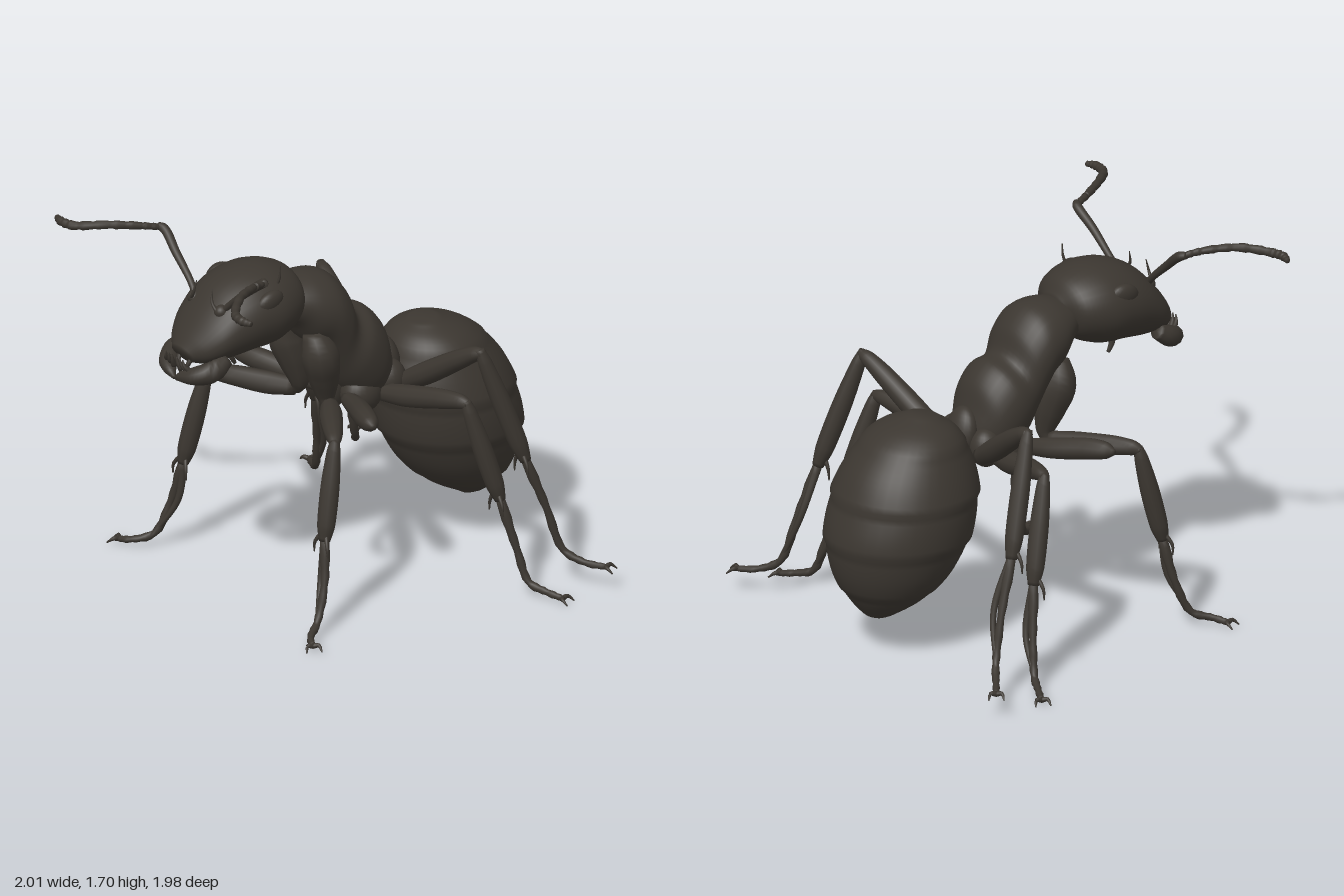
import * as THREE from 'three';

const shell = new THREE.MeshStandardMaterial({ color: 0x3b3630 });
shell.name = 'dark brown shell';
const V = (x, y, z) => new THREE.Vector3(x, y, z);

// Closed skin over a list of rings, each ring a loop of points
function skin(rings) {
  const middle = (ring) => {
    const c = V(0, 0, 0);
    ring.forEach((p) => c.add(p));
    return ring.map(() => c.clone().divideScalar(ring.length));
  };
  const all = [middle(rings[0]), ...rings, middle(rings[rings.length - 1])];
  const n = rings[0].length, pos = [], idx = [];
  all.forEach((ring) => ring.forEach((p) => pos.push(p.x, p.y, p.z)));
  for (let i = 0; i < all.length - 1; i++) {
    for (let j = 0; j < n; j++) {
      const k = (j + 1) % n;
      const a = i * n + j, b = i * n + k, c = a + n, d = b + n;
      idx.push(a, b, c, b, d, c);
    }
  }
  const g = new THREE.BufferGeometry();
  g.setAttribute('position', new THREE.Float32BufferAttribute(pos, 3));
  g.setIndex(idx);
  g.computeVertexNormals();
  return g;
}

function add(parent, name, geometry) {
  const m = new THREE.Mesh(geometry, shell);
  m.name = name;
  parent.add(m);
  return m;
}

// Body loft: each section is [z1, y1, z2, y2, halfWidth] in the middle plane
function body(parent, name, sections, swell = () => 1, seg = 32) {
  const one = new THREE.CatmullRomCurve3(sections.map((s) => V(s[4], s[1], s[0])));
  const two = new THREE.CatmullRomCurve3(sections.map((s) => V(0, s[3], s[2])));
  const steps = (sections.length - 1) * 6, rings = [];
  for (let i = 0; i <= steps; i++) {
    const t = i / steps, a = one.getPoint(t), b = two.getPoint(t), w = a.x;
    a.x = 0;
    const c = a.clone().add(b).multiplyScalar(0.5), u = a.clone().sub(c), k = swell(t);
    rings.push(Array.from({ length: seg }, (_, j) => {
      const q = (j / seg) * Math.PI * 2;
      return c.clone().addScaledVector(u, Math.sin(q) * k).add(V(w * Math.cos(q) * k, 0, 0));
    }));
  }
  return add(parent, name, skin(rings));
}

// Limb through points [x, y, z, radius], mirrored when side is -1
function limb(parent, name, pts, side = 1, swell = () => 1, per = 5) {
  const path = new THREE.CatmullRomCurve3(pts.map((p) => V(p[0] * side, p[1], p[2])));
  const radii = new THREE.CatmullRomCurve3(pts.map((p, i) => V(p[3], i, 0)));
  const steps = (pts.length - 1) * per, rings = [], seg = 10;
  for (let i = 0; i <= steps; i++) {
    const t = i / steps, c = path.getPoint(t), d = path.getTangent(t);
    const r = Math.max(0.002, radii.getPoint(t).x) * swell(t);
    const ref = Math.abs(d.z) > 0.9 ? V(1, 0, 0) : V(0, 0, 1);
    const n1 = ref.cross(d).normalize(), n2 = d.clone().cross(n1);
    rings.push(Array.from({ length: seg }, (_, j) => {
      const q = (j / seg) * Math.PI * 2;
      return c.clone().addScaledVector(n1, r * Math.cos(q)).addScaledVector(n2, r * Math.sin(q));
    }));
  }
  return add(parent, name, skin(rings));
}

function blob(parent, name, p, size, rx = 0, rz = 0) {
  const m = add(parent, name, new THREE.SphereGeometry(1, 24, 16));
  m.position.set(...p);
  m.scale.set(...size);
  m.rotation.set(rx, 0, rz);
  return m;
}

// Leg joints: hip, knee, shin end, then the foot path
const LEGS = {
  front: { hip: [0.13, 0.84, 0.10], knee: [0.48, 0.84, 0.33], shin: [0.53, 0.42, 0.42],
    foot: [[0.575, 0.22, 0.455], [0.61, 0.07, 0.52], [0.67, 0.04, 0.6], [0.73, 0.03, 0.63]] },
  middle: { hip: [0.13, 0.83, -0.19], knee: [0.61, 0.91, -0.30], shin: [0.69, 0.46, -0.42],
    foot: [[0.75, 0.22, -0.47], [0.8, 0.07, -0.5], [0.88, 0.04, -0.54], [0.95, 0.025, -0.575]] },
  rear: { hip: [0.14, 0.86, -0.29], knee: [0.6, 1.13, -0.385], shin: [0.7, 0.62, -0.55],
    foot: [[0.74, 0.37, -0.64], [0.78, 0.17, -0.7], [0.86, 0.12, -0.76], [0.94, 0.11, -0.82]] },
};

function leg(parent, which, side) {
  const { hip, knee, shin, foot } = LEGS[which];
  const g = new THREE.Group();
  g.name = which + (side > 0 ? 'LeftLeg' : 'RightLeg');
  parent.add(g);
  const mix = (a, b, t, r, dy = 0) => [0, 1, 2].map((i) => a[i] + (b[i] - a[i]) * t + (i === 1 ? dy : 0)).concat(r);
  limb(g, 'thigh', [mix(hip, knee, 0, 0.04), mix(hip, knee, 0.3, 0.052), mix(hip, knee, 0.7, 0.046, 0.01),
    mix(hip, knee, 0.93, 0.034, 0.01), mix(hip, knee, 1.02, 0.022)], side);
  limb(g, 'shin', [mix(knee, shin, -0.04, 0.02), mix(knee, shin, 0.08, 0.032), mix(knee, shin, 0.45, 0.044),
    mix(knee, shin, 0.85, 0.042), mix(knee, shin, 1.02, 0.026)], side);
  limb(g, 'foot', [[...shin, 0.024], ...foot.map((p, i) => [...p, [0.019, 0.018, 0.016, 0.014][i]])], side,
    (t) => 0.85 + 0.35 * ((t * 8) % 1));
  // Spurs at the end of the shin
  const [f0, f1] = foot;
  limb(g, 'longSpur', [[...shin, 0.02], [f0[0] - 0.04, f0[1] + 0.02, f0[2] - 0.01, 0.015], [...f1, 0.01]], side);
  for (const s of [-1, 1]) {
    limb(g, 'shortSpur', [mix(knee, shin, 0.9, 0.012),
      [shin[0] + 0.045 * s, shin[1] - 0.02, shin[2] + 0.02, 0.008],
      [shin[0] + 0.05 * s, shin[1] - 0.07, shin[2] + 0.02, 0.003]], side, undefined, 3);
  }
  // Pair of claws
  const tip = foot[3], d = V(...tip).sub(V(...foot[2])).setY(0).normalize();
  for (const s of [-1, 1]) {
    const out = (a, b, y, r) => [tip[0] + d.x * a - d.z * b * s, tip[1] + y, tip[2] + d.z * a + d.x * b * s, r];
    limb(g, 'claw', [out(0, 0, 0, 0.013), out(0.012, 0.025, 0.006, 0.009), out(0.04, 0.034, -0.015, 0.003)], side, undefined, 3);
  }
}

export function createModel() {
  const ant = new THREE.Group();
  ant.name = 'ant';

  // Abdomen with overlapping plates, from top to tip
  body(ant, 'abdomen', [
    [-0.44, 1.06, -0.56, 1.08, 0.07], [-0.36, 1.0, -0.73, 1.01, 0.2], [-0.29, 0.86, -0.87, 0.87, 0.285],
    [-0.28, 0.71, -0.94, 0.71, 0.328], [-0.31, 0.56, -0.975, 0.56, 0.325], [-0.39, 0.41, -0.955, 0.4, 0.28],
    [-0.52, 0.28, -0.89, 0.27, 0.19], [-0.66, 0.2, -0.81, 0.18, 0.075], [-0.72, 0.165, -0.76, 0.16, 0.02],
  ], (t) => 0.985 + 0.04 * Math.pow((t * 5.6) % 1, 1.5), 40);
  blob(ant, 'waist', [0, 0.93, -0.29], [0.09, 0.12, 0.06], 0.2);

  // Thorax, from waist to neck
  body(ant, 'thorax', [
    [-0.3, 0.92, -0.25, 0.8, 0.08], [-0.265, 1.04, -0.16, 0.78, 0.155], [-0.23, 1.15, -0.08, 0.8, 0.19],
    [-0.16, 1.225, 0, 0.88, 0.2], [-0.08, 1.25, 0.05, 0.96, 0.183], [-0.03, 1.36, 0.09, 1.04, 0.195],
    [0.05, 1.44, 0.12, 1.1, 0.2], [0.14, 1.46, 0.18, 1.15, 0.185], [0.22, 1.45, 0.24, 1.23, 0.15],
    [0.3, 1.43, 0.32, 1.28, 0.1],
  ]);
  blob(ant, 'breast', [0, 0.86, 0.0], [0.06, 0.11, 0.07]);

  // Head, from neck to muzzle
  body(ant, 'head', [
    [0.21, 1.45, 0.22, 1.37, 0.07], [0.27, 1.53, 0.28, 1.26, 0.18], [0.39, 1.57, 0.4, 1.2, 0.235],
    [0.52, 1.56, 0.52, 1.19, 0.235], [0.63, 1.51, 0.62, 1.18, 0.215], [0.72, 1.42, 0.7, 1.18, 0.185],
    [0.79, 1.33, 0.75, 1.18, 0.135], [0.835, 1.26, 0.79, 1.19, 0.07],
  ]);
  limb(ant, 'chinSpike', [[0, 1.2, 0.55, 0.016], [0, 1.15, 0.545, 0.014], [0, 1.11, 0.525, 0.008]]);
  limb(ant, 'crownBristle', [[0.15, 1.5, 0.41, 0.008], [0.165, 1.55, 0.4, 0.006], [0.17, 1.605, 0.4, 0.002]]);

  for (const s of [1, -1]) {
    blob(ant, 'eye', [0.185 * s, 1.45, 0.47], [0.04, 0.06, 0.075], 0.3, -0.35 * s);
    // Curved jaws with small teeth
    limb(ant, 'jaw', [[0.15, 1.22, 0.68, 0.035], [0.15, 1.18, 0.75, 0.048], [0.1, 1.155, 0.815, 0.042],
      [0.04, 1.14, 0.845, 0.025], [0.005, 1.12, 0.85, 0.008]], s);
    for (const k of [0, 1, 2]) {
      limb(ant, 'tooth', [[0.09 - k * 0.03, 1.17, 0.82 + k * 0.007, 0.014],
        [0.07 - k * 0.025, 1.2, 0.85, 0.009], [0.06 - k * 0.022, 1.23, 0.855, 0.003]], s, undefined, 3);
    }
    limb(ant, 'feeler', [[0.05, 1.24, 0.77, 0.012], [0.035, 1.18, 0.81, 0.01], [0.03, 1.12, 0.8, 0.004]], s);

    // Antenna: smooth stalk and ringed whip
    blob(ant, 'antennaSocket', [0.1 * s, 1.43, 0.67], [0.032, 0.032, 0.035]);
    limb(ant, 'antennaStalk', [[0.09, 1.42, 0.67, 0.014], [0.15, 1.48, 0.655, 0.016], [0.27, 1.58, 0.65, 0.02],
      [0.37, 1.655, 0.64, 0.022], [0.4, 1.665, 0.655, 0.016]], s);
    limb(ant, 'antennaWhip', [[0.385, 1.66, 0.645, 0.014], [0.42, 1.675, 0.73, 0.017], [0.5, 1.685, 0.86, 0.019],
      [0.61, 1.67, 0.965, 0.02], [0.68, 1.67, 0.98, 0.019], [0.73, 1.668, 0.965, 0.012]], s,
    (t) => 0.88 + 0.24 * ((t * 11) % 1), 12);
    limb(ant, 'antennaBristle', [[0.11, 1.42, 0.69, 0.01], [0.07, 1.47, 0.7, 0.007], [0.06, 1.53, 0.69, 0.002]], s);

    // Hip segments below the thorax
    limb(ant, 'frontHip', [[0.1, 1.2, 0.17, 0.05], [0.125, 1.1, 0.15, 0.085], [0.11, 0.99, 0.12, 0.075],
      [0.1, 0.88, 0.1, 0.045], [0.12, 0.83, 0.1, 0.025]], s);
    blob(ant, 'middleHip', [0.09 * s, 0.84, -0.1], [0.085, 0.095, 0.1]);
    blob(ant, 'rearHip', [0.11 * s, 0.88, -0.24], [0.075, 0.09, 0.075]);
    limb(ant, 'sideLobe', [[0.1, 0.83, -0.02, 0.035], [0.24, 0.85, 0.03, 0.048], [0.4, 0.88, 0.105, 0.05],
      [0.49, 0.89, 0.14, 0.038], [0.53, 0.89, 0.155, 0.012]], s);
    for (const w of ['front', 'middle', 'rear']) leg(ant, w, s);
  }
  return ant;
}
